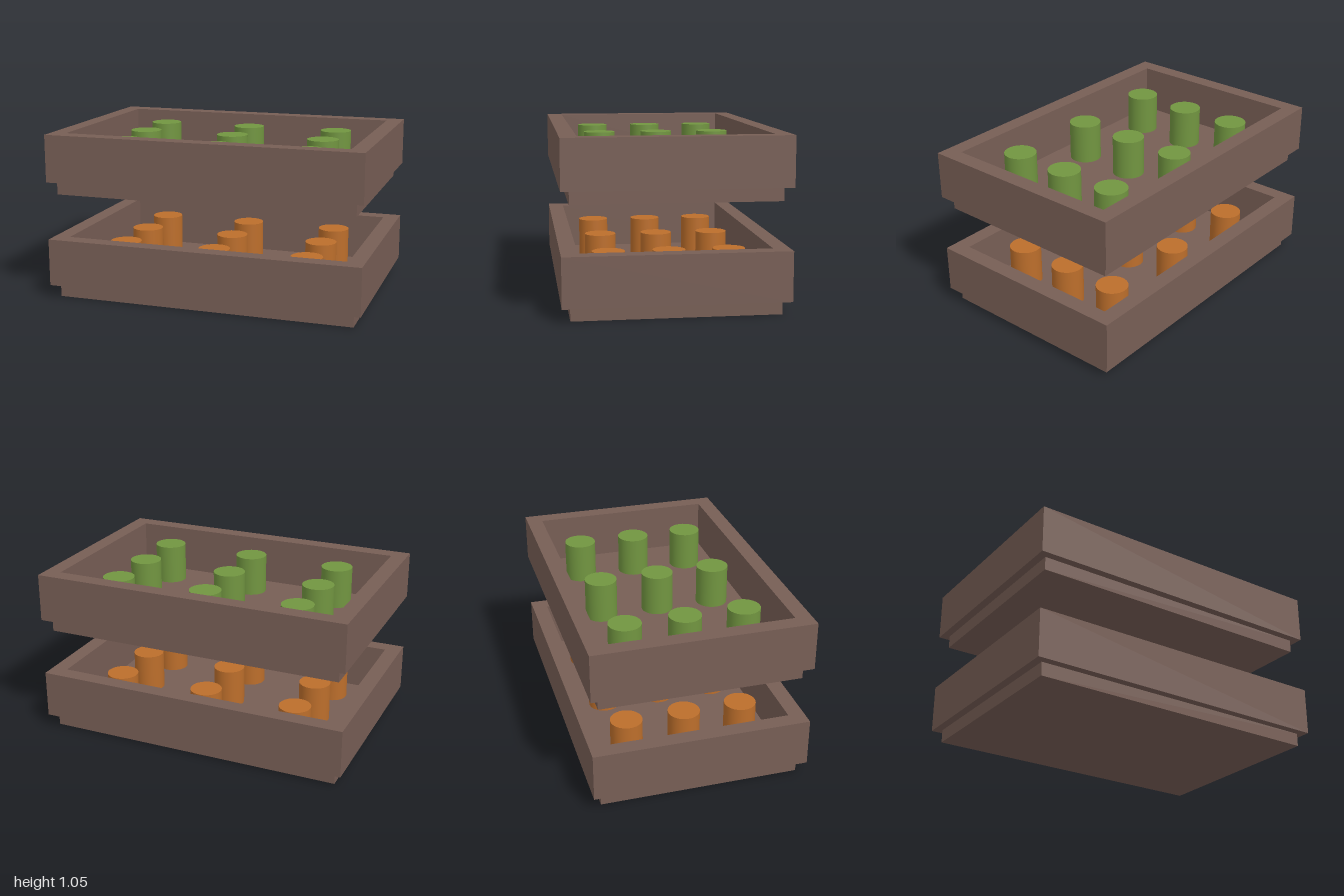
import * as THREE from 'three';

const wood = new THREE.MeshStandardMaterial({ name: 'brown', color: 0x775e55 });
const green = new THREE.MeshStandardMaterial({ name: 'green', color: 0x719540 });
const orange = new THREE.MeshStandardMaterial({ name: 'orange', color: 0xbc6e2b });

const BASE_H = 0.083, WALL_H = 0.3, PEG_H = 0.25, PEG_R = 0.1;

// Rectangle centred on the origin, usable as an outline or a hole
function rectangle(path, hw, hd) {
  path.moveTo(-hw, -hd);
  path.lineTo(hw, -hd);
  path.lineTo(hw, hd);
  path.lineTo(-hw, hd);
  path.closePath();
  return path;
}

function createTray(name, pegMaterial) {
  const tray = new THREE.Group();
  tray.name = name;

  // Inset foot whose top is the floor of the tray
  const base = new THREE.Mesh(new THREE.BoxGeometry(1.9, BASE_H, 1.234), wood);
  base.name = 'base';
  base.position.y = BASE_H / 2;
  tray.add(base);

  // Hollow rim around the floor
  const outline = rectangle(new THREE.Shape(), 1, 0.667);
  outline.holes.push(rectangle(new THREE.Path(), 0.9, 0.567));
  const wallGeometry = new THREE.ExtrudeGeometry(outline, { depth: WALL_H, bevelEnabled: false });
  wallGeometry.rotateX(-Math.PI / 2);
  const walls = new THREE.Mesh(wallGeometry, wood);
  walls.name = 'walls';
  walls.position.y = BASE_H;
  tray.add(walls);

  // Three by three grid of round pegs
  const pegGeometry = new THREE.CylinderGeometry(PEG_R, PEG_R, PEG_H, 32);
  for (const x of [-0.6, 0, 0.6]) {
    for (const z of [-0.367, 0, 0.367]) {
      const peg = new THREE.Mesh(pegGeometry, pegMaterial);
      peg.name = 'peg';
      peg.position.set(x, BASE_H + PEG_H / 2, z);
      tray.add(peg);
    }
  }
  return tray;
}

export function createModel() {
  const model = new THREE.Group();
  model.name = 'stackedTrays';
  const upper = createTray('upperTray', green);
  upper.position.y = 0.667;
  model.add(createTray('lowerTray', orange), upper);
  return model;
}
